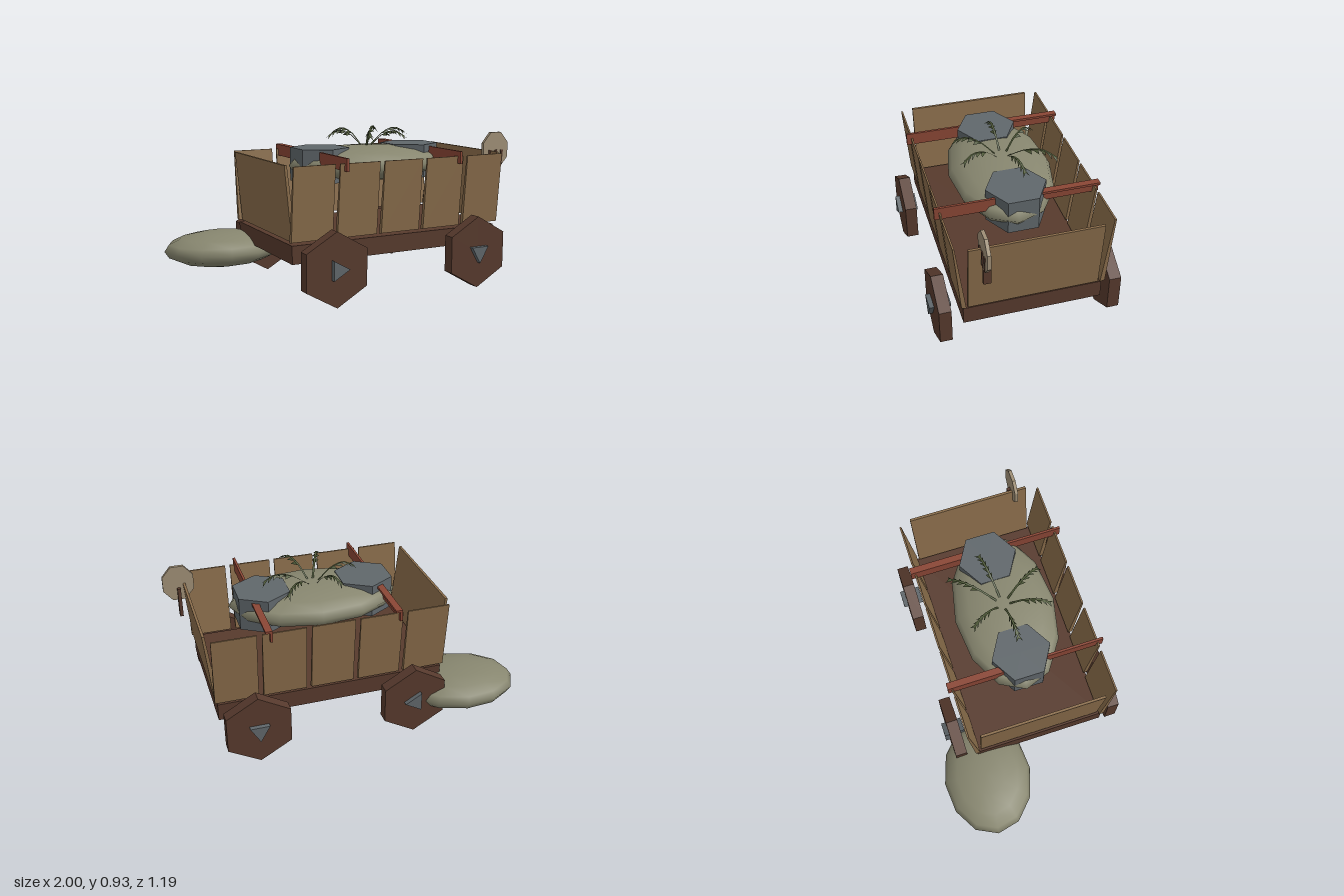
import * as THREE from 'three';

const mat = (name, color, extra = {}) => {
  const m = new THREE.MeshStandardMaterial({ color, ...extra });
  m.name = name;
  return m;
};

export function createModel() {
  const model = new THREE.Group();
  const flat = { flatShading: true };
  const darkWood = mat('darkWood', 0x573a2d, flat);
  const plankWood = mat('plankWood', 0x8a6d4b, flat);
  const redWood = mat('redWood', 0x8a4635, flat);
  const iron = mat('iron', 0x60676b, flat);
  const sackcloth = mat('sackcloth', 0x87866f);
  const leaf = mat('leaf', 0x4f5a38, { side: THREE.DoubleSide, flatShading: true });
  const bone = mat('paleWood', 0x9f8f76, flat);

  const add = (name, geometry, material, x = 0, y = 0, z = 0, parent = model) => {
    const mesh = new THREE.Mesh(geometry, material);
    mesh.name = name;
    mesh.position.set(x, y, z);
    parent.add(mesh);
    return mesh;
  };
  // Prism with a cross-section, centred along its length
  const prism = (points, length) => {
    const shape = new THREE.Shape(points.map(([a, b]) => new THREE.Vector2(a, b)));
    return new THREE.ExtrudeGeometry(shape, { depth: length, bevelEnabled: false })
      .translate(0, 0, -length / 2);
  };
  const midZ = 0.04;

  // Bed
  add('bed', new THREE.BoxGeometry(1.355, 0.105, 0.79), darkWood, 0.153, 0.293, midZ);

  // Hexagonal wheels with three-sided axle ends
  const wheelGeo = new THREE.CylinderGeometry(0.215, 0.215, 0.07, 6).rotateX(Math.PI / 2);
  const hubGeo = new THREE.CylinderGeometry(0.066, 0.066, 0.124, 3).rotateX(Math.PI / 2);
  for (const side of [1, -1]) {
    for (const [x, turn] of [[-0.315, Math.PI / 2], [0.625, 0]]) {
      const z = midZ + side * 0.49;
      add('wheel', wheelGeo, darkWood, x, 0.215, z);
      add('axleEnd', hubGeo, iron, x, 0.218, z).rotation.z = turn;
    }
  }

  // Leaning side planks, tapering upward
  const section = [[0.42, 0.36], [0.447, 0.365], [0.484, 0.785], [0.474, 0.785]];
  for (const side of [1, -1]) {
    const points = section.map(([z, y]) => [side > 0 ? z : 2 * midZ - z, y]);
    for (let i = 0; i < 5; i++) {
      const geo = prism(points, 0.252).rotateY(-Math.PI / 2);
      add('sidePlank', geo, plankWood, -0.408 + i * 0.282);
    }
  }

  // Leaning end boards
  const endSection = [[0.815, 0.36], [0.84, 0.36], [0.88, 0.785], [0.865, 0.785]];
  for (const side of [1, -1]) {
    const points = endSection.map(([x, y]) => [side > 0 ? x : 0.325 - x, y]);
    add('endBoard', prism(points, 0.74), plankWood, 0, 0, midZ);
  }

  // Cross rails: an upright web in front, an angle section behind
  for (const x of [-0.22, 0.53]) {
    add('frontRail', new THREE.BoxGeometry(0.014, 0.073, 0.34), redWood, x, 0.779, 0.34);
    const angle = [[-0.02, 0.812], [-0.02, 0.742], [-0.006, 0.742],
      [-0.006, 0.798], [0.02, 0.798], [0.02, 0.812]];
    add('backRail', prism(angle, 0.335), redWood, x, 0, -0.258);
  }

  // Hexagonal kegs
  for (const x of [-0.16, 0.465]) {
    add('keg', new THREE.CylinderGeometry(0.175, 0.175, 0.2, 6), iron, x, 0.73, 0.035);
  }

  // Sacks
  const sack = (name, size, x, y, z, turn) => {
    const geo = new THREE.SphereGeometry(1, 12, 8).scale(...size);
    add(name, geo, sackcloth, x, y, z).rotation.y = turn;
  };
  sack('loadedSack', [0.505, 0.108, 0.3], 0.155, 0.725, midZ, -0.06);
  sack('fallenSack', [0.355, 0.107, 0.265], -0.65, 0.197, -0.335, -0.12);

  // Drooping sprigs: a narrow stem ribbon with paired leaflets
  const sprig = (reach) => {
    const path = new THREE.CatmullRomCurve3([
      [0.04, 0], [reach * 0.45, 0.07], [reach * 0.75, 0.095], [reach, 0.065],
    ].map(([r, y]) => new THREE.Vector3(r, y, 0)));
    const v = [];
    const N = 7;
    for (let i = 0; i < N; i++) {
      const a = path.getPoint(i / N), b = path.getPoint((i + 1) / N);
      const w = 0.006;
      v.push(a.x, a.y, -w, a.x, a.y, w, b.x, b.y, w);
      v.push(a.x, a.y, -w, b.x, b.y, w, b.x, b.y, -w);
      if (i < 2) continue;
      for (const s of [1, -1]) {
        v.push(a.x, a.y, 0, b.x, b.y, 0, b.x + 0.015, b.y - 0.02, s * 0.02);
      }
    }
    const geo = new THREE.BufferGeometry();
    geo.setAttribute('position', new THREE.Float32BufferAttribute(v, 3));
    geo.computeVertexNormals();
    return geo;
  };
  const tips = [[-0.1, 0.04], [0.04, -0.18], [0.37, -0.23], [0.46, -0.02], [0.05, 0.28], [0.28, 0.28]];
  for (const [x, z] of tips) {
    const dx = x - 0.16, dz = z - 0.03;
    add('sprig', sprig(Math.hypot(dx, dz)), leaf, 0.16, 0.832, 0.03).rotation.y = Math.atan2(-dz, dx);
  }

  // Hanging paddle with a handle and three dark prongs
  const paddle = new THREE.Group();
  paddle.name = 'paddle';
  paddle.position.set(0.907, 0.79, 0.325);
  model.add(paddle);
  const disc = new THREE.CylinderGeometry(1, 1, 0.02, 8).rotateX(Math.PI / 2)
    .rotateZ(Math.PI / 8).scale(0.1, 0.118, 1);
  add('paddleBlade', disc, bone, 0, 0, 0.008, paddle);
  add('paddleHandle', new THREE.BoxGeometry(0.02, 0.185, 0.042), darkWood, 0, -0.122, -0.003, paddle);
  for (const x of [-0.045, 0, 0.045]) {
    const prong = prism([[-0.009, 0.045], [0.009, 0.045], [0, -0.05]], 0.008);
    add('prong', prong, darkWood, x, -0.045, 0.02, paddle);
  }
  return model;
}
